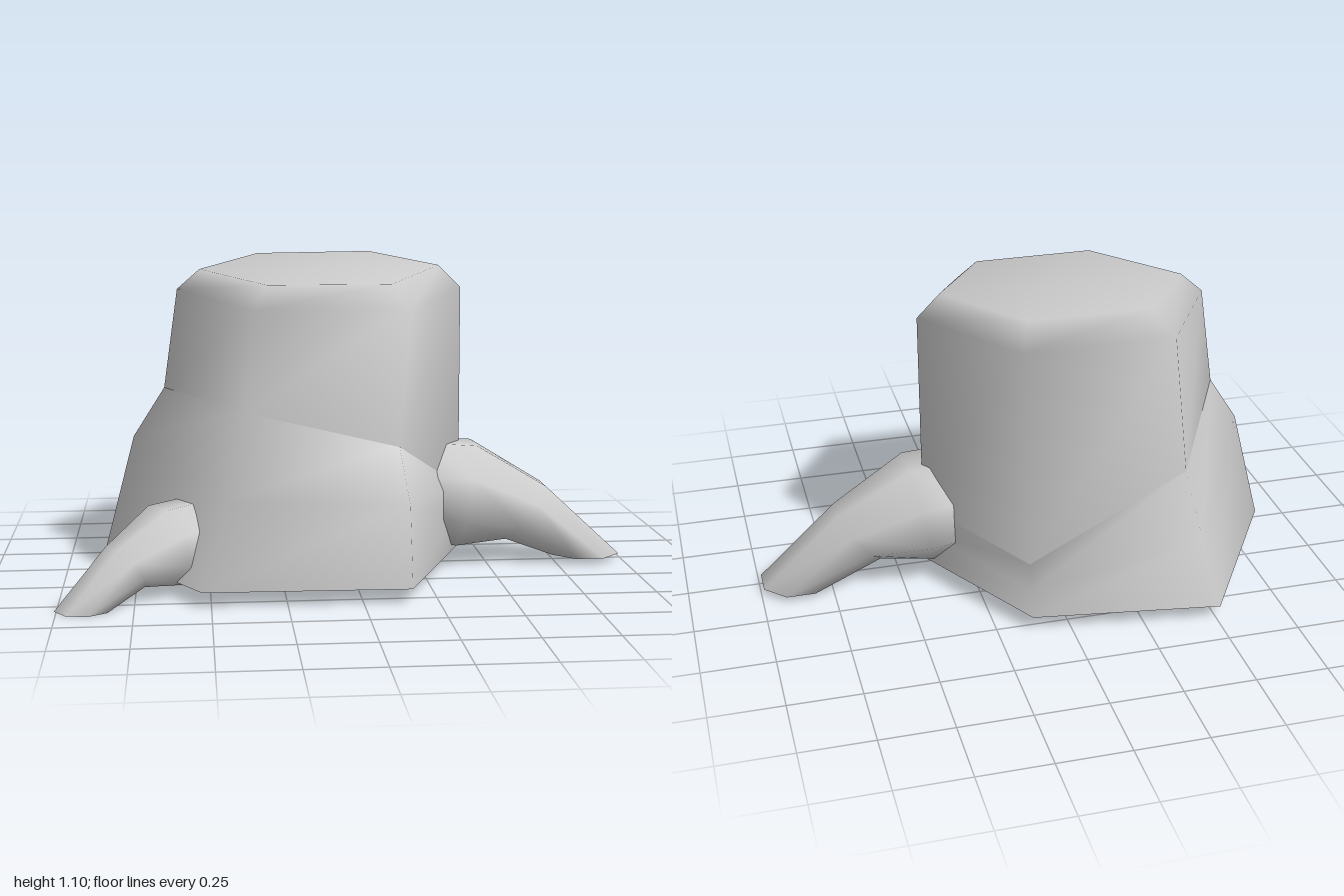
import * as THREE from 'three';

const material = new THREE.MeshStandardMaterial({ color: 0xcccccc });

// Smooth skin through closed rings listed bottom/inner first, each ring turning
// the same way; capEnd closes the last ring and shares its soft normals.
function loft(rings, capEnd = false, flip = false) {
  const n = rings[0].length;
  const index = [];
  const tri = (a, b, c) => (flip ? index.push(a, c, b) : index.push(a, b, c));
  for (let r = 0; r < rings.length - 1; r++) {
    for (let i = 0; i < n; i++) {
      const a = r * n + i, b = r * n + (i + 1) % n;
      tri(a, b, b + n);
      tri(a, b + n, a + n);
    }
  }
  const points = rings.flat();
  if (capEnd) {
    const last = (rings.length - 1) * n;
    const centre = [0, 1, 2].map(k => rings.at(-1).reduce((s, p) => s + p[k], 0) / n);
    points.push(centre);
    for (let i = 0; i < n; i++) tri(last + i, last + (i + 1) % n, last + n);
  }
  const geometry = new THREE.BufferGeometry();
  geometry.setAttribute('position', new THREE.Float32BufferAttribute(points.flat(), 3));
  geometry.setIndex(index);
  geometry.computeVertexNormals();
  return geometry;
}

function part(name, geometry) {
  const mesh = new THREE.Mesh(geometry, material);
  mesh.name = name;
  return mesh;
}

// Root: eight-sided tube bending from the trunk down to the ground.
// Stations: distance from tip centre, height, ring tilt, radius.
function root(name, scale, heading, x, y, z) {
  const stations = [
    [-0.62, 0.25, 0.1, 0.19],
    [-0.445, 0.23, 0.2, 0.2],
    [-0.225, 0.16, 0.64, 0.13],
    [0, 0, Math.PI / 2, 0.132],
  ];
  const rings = stations.map(([s, h, tilt, r]) => Array.from({ length: 8 }, (_, i) => {
    const a = (i + 0.5) * Math.PI / 4;
    const up = Math.cos(a) * r;
    return [s + up * Math.sin(tilt), h + up * Math.cos(tilt), Math.sin(a) * r];
  }));
  const mesh = part(name, loft(rings, true));
  mesh.scale.setScalar(scale);
  mesh.rotation.y = heading;
  mesh.position.set(x, y, z);
  return mesh;
}

export function createModel() {
  const model = new THREE.Group();
  model.name = 'treeStump';

  // Hexagonal rings, in order: left end, front pair, right end, back pair
  const base = [[-0.87, 0.05, -0.04], [-0.53, 0.05, 0.56], [0.16, 0.05, 0.575],
    [0.41, 0.05, -0.05], [0.13, 0.05, -0.535], [-0.51, 0.05, -0.63]];
  const swell = [[-0.76, 0.47, -0.05], [-0.45, 0.34, 0.51], [0.15, 0.33, 0.575],
    [0.41, 0.16, -0.055], [0.135, 0.16, -0.535], [-0.45, 0.3, -0.585]];
  const crease = [[-0.65, 0.64, -0.07], [-0.38, 0.62, 0.425], [0.13, 0.5, 0.44],
    [0.41, 0.27, -0.06], [0.14, 0.26, -0.53], [-0.4, 0.54, -0.53]];
  const shoulder = [[-0.6, 0.99, -0.07], [-0.35, 0.95, 0.37], [0.18, 0.95, 0.36],
    [0.41, 0.99, -0.06], [0.16, 1.03, -0.52], [-0.35, 1.03, -0.52]];
  const rim = [[-0.52, 1.06, -0.07], [-0.3, 1.03, 0.305], [0.12, 1.03, 0.3],
    [0.33, 1.07, -0.06], [0.12, 1.1, -0.43], [-0.3, 1.095, -0.42]];

  // Flared foot, upper trunk with bevelled cut top, and flat underside
  model.add(part('flaredBase', loft([base, swell, crease])));
  model.add(part('trunk', loft([crease, shoulder, rim], true)));
  const hub = base.map(() => [-0.2, 0.05, -0.02]);
  model.add(part('underside', loft([base, hub], false, true)));

  // Long root on one side, short one at the opposite front corner
  model.add(root('longRoot', 1, 0, 0.868, 0.02, -0.025));
  model.add(root('shortRoot', 0.72, Math.PI + 0.6, -0.915, 0, 0.54));
  return model;
}
